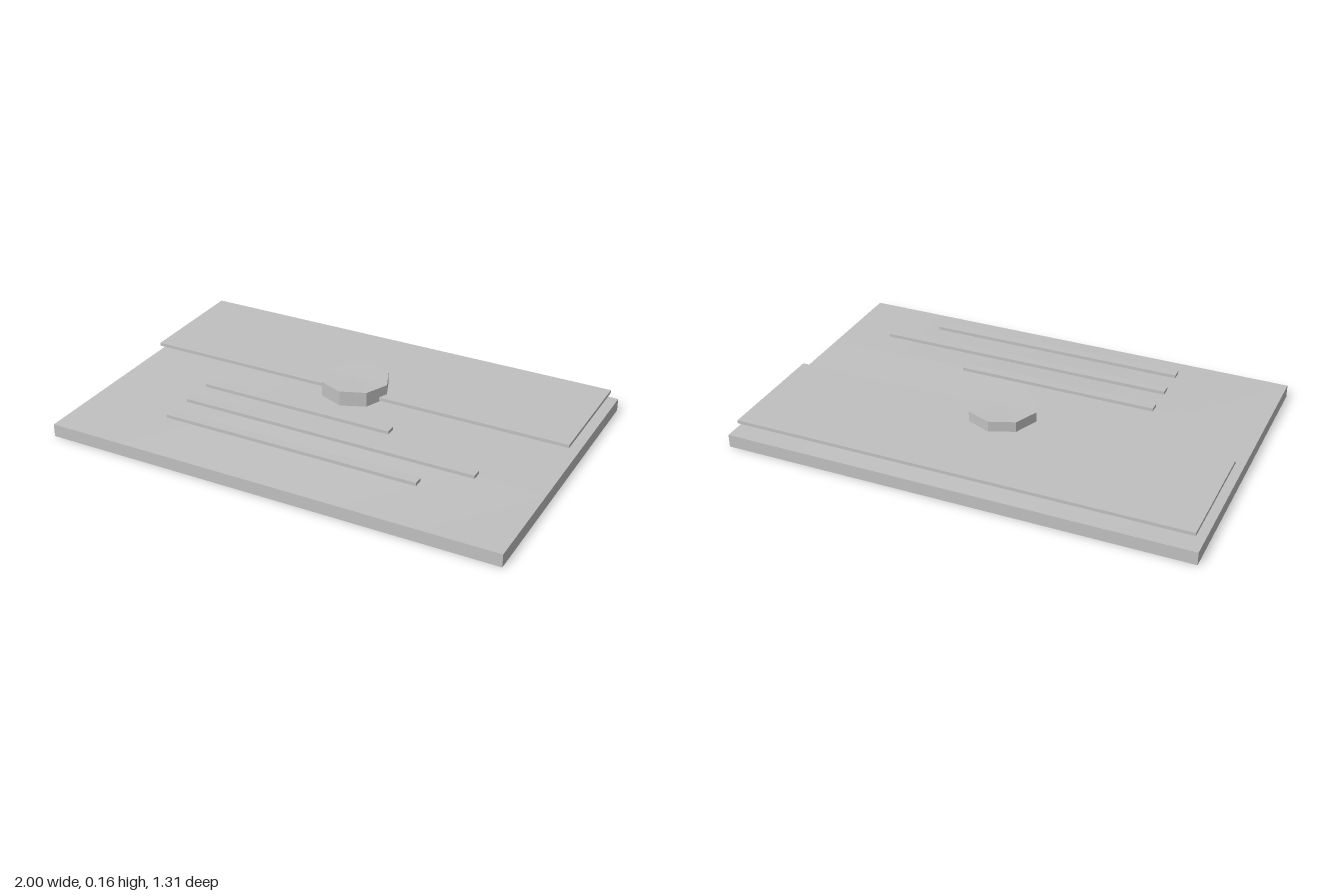
import * as THREE from 'three';

export function createModel() {
  const model = new THREE.Group();
  const grey = new THREE.MeshStandardMaterial({ color: 0xc0c0c0, flatShading: true });
  grey.name = 'grey';

  const add = (name, geometry, x, y, z) => {
    const mesh = new THREE.Mesh(geometry, grey);
    mesh.name = name;
    mesh.position.set(x, y, z);
    model.add(mesh);
    return mesh;
  };

  // Box given by its limits on each axis
  const slab = (name, x0, x1, y0, y1, z0, z1) =>
    add(name, new THREE.BoxGeometry(x1 - x0, y1 - y0, z1 - z0),
      (x0 + x1) / 2, (y0 + y1) / 2, (z0 + z1) / 2);

  // Base plate: flat underneath, its top gently domed towards the middle
  const edge = 0.056, rise = 0.023, depth = 1.306;
  const plate = new THREE.BoxGeometry(2, edge, depth, 6, 1, 3);
  plate.translate(0, edge / 2, 0);
  const p = plate.attributes.position;
  for (let i = 0; i < p.count; i++) {
    if (p.getY(i) < edge / 2) continue;
    const across = 1 - Math.abs(p.getX(i)) ** 1.5;
    const along = Math.abs(p.getZ(i)) > depth / 2 - 0.01 ? 0 : 1;
    p.setY(i, edge + rise * across * along);
  }
  plate.computeVertexNormals();
  add('basePlate', plate, 0, 0, 0);

  // Wide thin band floating over the back half
  slab('backBand', -0.975, 0.975, 0.097, 0.111, -0.615, -0.095);

  // Eight-sided button with a slightly uneven rim
  const button = new THREE.CylinderGeometry(0.149, 0.149, 0.063, 8);
  const b = button.attributes.position;
  for (let i = 0; i < b.count; i++) {
    if (b.getY(i) > 0) b.setY(i, b.getY(i) + 0.16 * b.getZ(i) ** 2);
  }
  button.computeVertexNormals();
  add('button', button, 0, 0.1225, -0.137);

  // Three thin bars with a common left edge
  [[0.146, 0.305], [0.295, 0.743], [0.446, 0.568]].forEach(([z, end], i) =>
    slab('bar' + (i + 1), -0.56, end, 0.112, 0.126, z - 0.021, z + 0.021));

  return model;
}
